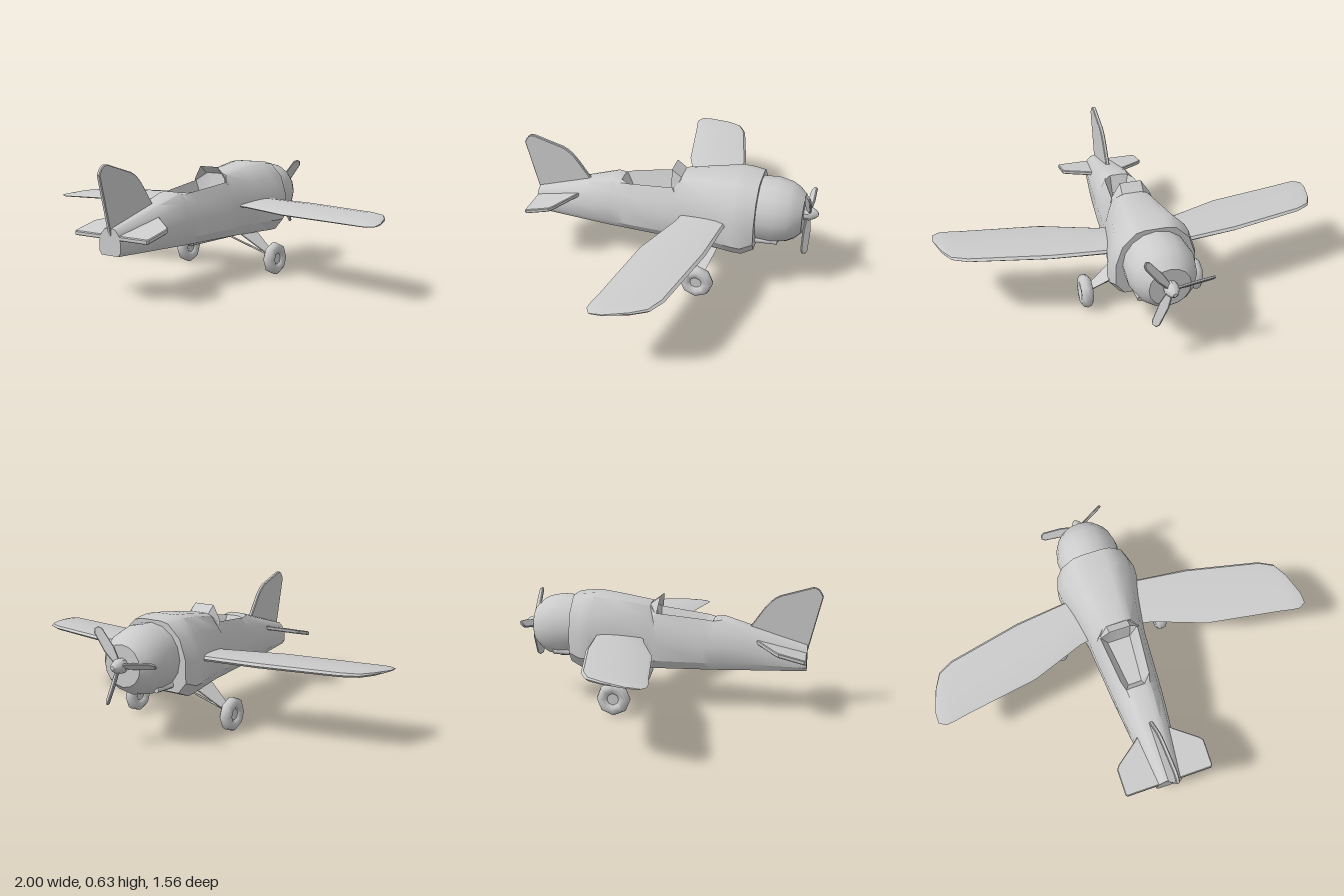
import * as THREE from 'three';
import { toCreasedNormals } from 'three/addons/utils/BufferGeometryUtils.js';

const grey = new THREE.MeshStandardMaterial({ color: 0xcccccc });
const greyThin = new THREE.MeshStandardMaterial({ color: 0xcccccc, side: THREE.DoubleSide });

function part(parent, name, geometry, material = grey) {
  const mesh = new THREE.Mesh(geometry, material);
  mesh.name = name;
  parent.add(mesh);
  return mesh;
}

// Skin a row of equal closed rings, capping both ends
function loft(rings, crease = 0.6) {
  const n = rings[0].length, pos = rings.flat(2), idx = [];
  for (let i = 0; i < rings.length - 1; i++) {
    for (let j = 0; j < n; j++) {
      const k = (j + 1) % n, a = i * n, b = a + n;
      idx.push(a + j, a + k, b + k, a + j, b + k, b + j);
    }
  }
  [0, rings.length - 1].forEach((r, end) => {
    const c = pos.length / 3;
    for (let d = 0; d < 3; d++) pos.push(rings[r].reduce((s, p) => s + p[d], 0) / n);
    for (let j = 0; j < n; j++) {
      const a = r * n + j, b = r * n + (j + 1) % n;
      idx.push(c, end ? a : b, end ? b : a);
    }
  });
  const g = new THREE.BufferGeometry();
  g.setAttribute('position', new THREE.Float32BufferAttribute(pos, 3));
  g.setIndex(idx);
  return toCreasedNormals(g, crease);
}

// Lathe whose axis points forward along -z at height y
function forwardLathe(profile, sides, y) {
  const g = new THREE.LatheGeometry(profile.map(p => new THREE.Vector2(...p)), sides);
  return toCreasedNormals(g.rotateX(-Math.PI / 2).translate(0, y, 0), 0.6);
}

// Flat plate with slightly bevelled edges, centred on its thickness
function plate(shape, thickness, bevel = 0.004) {
  const g = new THREE.ExtrudeGeometry(shape, {
    depth: thickness - 2 * bevel, bevelThickness: bevel, bevelSize: bevel,
    bevelOffset: -bevel, bevelSegments: 1, curveSegments: 8,
  });
  return g.translate(0, 0, bevel - thickness / 2);
}

const polygon = pts => new THREE.Shape(pts.map(p => new THREE.Vector2(...p)));

// D-shaped body section; an opening { rim, inner, floor } sinks the cockpit
function bodyRing(z, w, yb, yt, opening) {
  const h = yt - yb;
  const half = [[0, yb], [0.78 * w, yb], [w, yb + 0.16 * h], [w, yb + 0.48 * h], [0.83 * w, yb + 0.78 * h]];
  if (opening) half.push([opening.rim, yt], [opening.inner, opening.floor], [0, opening.floor]);
  else half.push([0.5 * w, yb + 0.97 * h], [0.28 * w, yt], [0, yt]);
  const mirrored = half.slice(1, -1).reverse().map(([x, y]) => [-x, y]);
  return [...half, ...mirrored].map(([x, y]) => [x, y, z]);
}

function bar(a, b, radius) {
  const from = new THREE.Vector3(...a), to = new THREE.Vector3(...b);
  const dir = to.clone().sub(from);
  const g = new THREE.CylinderGeometry(radius, radius, dir.length(), 6);
  g.applyQuaternion(new THREE.Quaternion().setFromUnitVectors(new THREE.Vector3(0, 1, 0), dir.normalize()));
  const m = from.add(to).multiplyScalar(0.5);
  return g.translate(m.x, m.y, m.z);
}

function buildBody(plane) {
  part(plane, 'fuselage', loft([
    bodyRing(-0.49, 0.195, 0.235, 0.57),
    bodyRing(-0.43, 0.214, 0.208, 0.576),
    bodyRing(-0.38, 0.21, 0.207, 0.58),
    bodyRing(-0.25, 0.178, 0.207, 0.562),
    bodyRing(-0.09, 0.148, 0.207, 0.535),
    bodyRing(-0.06, 0.146, 0.207, 0.492, { rim: 0.1, inner: 0.06, floor: 0.38 }),
    bodyRing(0.19, 0.128, 0.208, 0.463, { rim: 0.075, inner: 0.035, floor: 0.38 }),
    bodyRing(0.235, 0.124, 0.208, 0.461),
    bodyRing(0.28, 0.12, 0.208, 0.468),
    bodyRing(0.42, 0.106, 0.21, 0.425),
    bodyRing(0.71, 0.067, 0.211, 0.337),
  ]));

  // Windscreen: three panes leaning back over the cockpit
  const base = [[-0.11, 0.475, -0.065], [-0.055, 0.532, -0.09], [0.055, 0.532, -0.09], [0.11, 0.475, -0.065]];
  const top = [[-0.1, 0.5, -0.05], [-0.055, 0.57, -0.04], [0.055, 0.57, -0.04], [0.1, 0.5, -0.05]];
  const pane = [];
  for (let i = 0; i < 3; i++) pane.push(base[i + 1], base[i], top[i], base[i + 1], top[i], top[i + 1]);
  const screen = new THREE.BufferGeometry();
  screen.setAttribute('position', new THREE.Float32BufferAttribute(pane.flat(), 3));
  screen.computeVertexNormals();
  part(plane, 'windscreen', screen, greyThin);

  // Engine cowl and the small exhausts low on its sides
  part(plane, 'engineCowl', forwardLathe(
    [[0.16, 0.44], [0.163, 0.5], [0.167, 0.57], [0.152, 0.64], [0.133, 0.675], [0.1, 0.71], [0, 0.71]], 16, 0.395));
  for (const s of [-1, 1]) {
    part(plane, 'exhaust', bar([s * 0.112, 0.268, -0.46], [s * 0.106, 0.272, -0.6], 0.016));
  }
}

function buildPropeller(plane) {
  const propeller = new THREE.Group();
  propeller.name = 'propeller';
  plane.add(propeller);
  part(propeller, 'spinner', forwardLathe(
    [[0.02, 0.69], [0.034, 0.71], [0.036, 0.735], [0.024, 0.765], [0.01, 0.78], [0, 0.782]], 10, 0.4));
  for (let i = 0; i < 3; i++) {
    const g = plate(polygon([[-0.012, 0.01], [0.012, 0.01], [0.024, 0.09], [0.021, 0.19],
      [0.01, 0.207], [-0.01, 0.207], [-0.021, 0.19], [-0.024, 0.09]]), 0.012, 0.003);
    g.rotateY(0.75).rotateZ(THREE.MathUtils.degToRad(52 - 90 + 120 * i)).translate(0, 0.4, -0.732);
    part(propeller, 'propellerBlade', g);
  }
}

function buildWings(plane) {
  // Stations: x, leading z, trailing z, thickness
  const stations = [[0.1, -0.352, -0.12, 0.03], [0.2, -0.35, -0.1, 0.03], [0.47, -0.32, 0, 0.03],
    [0.85, -0.235, 0.062, 0.026], [0.925, -0.195, 0.077, 0.022], [0.965, -0.12, 0.081, 0.018], [1, 0, 0.06, 0.006]];
  // Airfoil as [share of chord, share of thickness]
  const foil = [[0, 0], [0.04, 0.4], [0.2, 0.55], [0.55, 0.45], [0.95, 0.2], [1, 0], [0.95, -0.25], [0.5, -0.45], [0.05, -0.4]];
  const rings = stations.map(([x, lead, trail, t]) => foil.map(([c, h]) => {
    const z = lead + (trail - lead) * c;
    return [x, 0.361 - 0.045 * z + h * t, z];
  }));
  for (const s of [1, -1]) {
    part(plane, s > 0 ? 'leftWing' : 'rightWing', loft(rings)).scale.x = s;
  }
}

function buildTail(plane) {
  // Shape in (z, y), turned to stand along the body
  const fin = new THREE.Shape();
  fin.moveTo(0.42, 0.4);
  fin.lineTo(0.42, 0.425);
  fin.bezierCurveTo(0.48, 0.5, 0.51, 0.58, 0.6, 0.595);
  fin.lineTo(0.72, 0.63);
  fin.quadraticCurveTo(0.76, 0.64, 0.78, 0.585);
  fin.lineTo(0.71, 0.3);
  part(plane, 'fin', plate(fin, 0.02).rotateY(-Math.PI / 2));

  // Tailplane in (x, z), dropping towards the rear
  const half = [[0.08, 0.455], [0.105, 0.475], [0.215, 0.555], [0.23, 0.575], [0.23, 0.7], [0.222, 0.71], [0.04, 0.71]];
  for (const s of [1, -1]) {
    const g = plate(polygon(half.map(([x, z]) => [s * x, z])), 0.022);
    g.rotateX(Math.PI / 2);
    const p = g.attributes.position;
    for (let i = 0; i < p.count; i++) p.setY(i, p.getY(i) + 0.295 + (0.71 - p.getZ(i)) * 0.25);
    g.computeVertexNormals();
    part(plane, 'tailplane', g);
  }
}

function buildLandingGear(plane) {
  const z = -0.235, y = 0.087;
  for (const s of [1, -1]) {
    const gear = new THREE.Group();
    gear.name = s > 0 ? 'leftLandingGear' : 'rightLandingGear';
    plane.add(gear);
    part(gear, 'tyre', new THREE.TorusGeometry(0.056, 0.031, 10, 8).rotateY(Math.PI / 2).translate(s * 0.29, y, z));
    part(gear, 'hub', new THREE.CylinderGeometry(0.034, 0.034, 0.03, 8).rotateZ(Math.PI / 2).translate(s * 0.29, y, z));
    // Flat leg, tapering and slanting out from the belly to the wheel
    const leg = new THREE.BoxGeometry(0.012, 1, 1);
    const p = leg.attributes.position;
    for (let i = 0; i < p.count; i++) {
      const t = 0.5 - p.getY(i);
      p.setXYZ(i, s * (0.11 + 0.17 * t) + p.getX(i), 0.215 - 0.12 * t, z + p.getZ(i) * (0.15 - 0.11 * t));
    }
    leg.computeVertexNormals();
    part(gear, 'leg', leg);
    part(gear, 'crossBrace', bar([s * 0.28, 0.092, z], [s * -0.12, 0.212, z], 0.005));
  }
}

export function createModel() {
  const plane = new THREE.Group();
  plane.name = 'airplane';
  buildBody(plane);
  buildPropeller(plane);
  buildWings(plane);
  buildTail(plane);
  buildLandingGear(plane);
  return plane;
}
